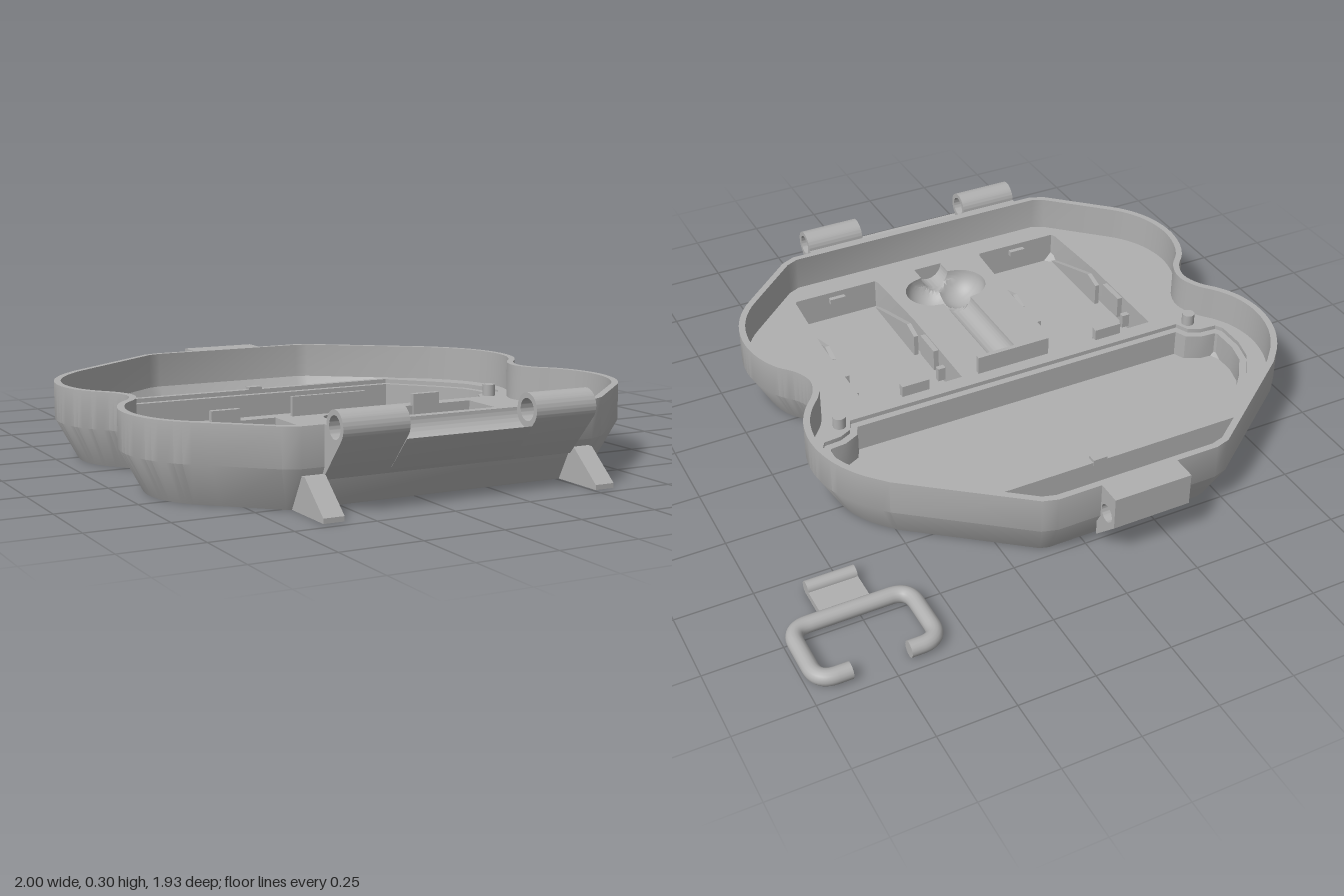
import * as THREE from 'three';
import { toCreasedNormals } from 'three/addons/utils/BufferGeometryUtils.js';

const FLOOR = 0.02, DECK = 0.13, RIM = 0.25;

// Closed loop of [x, z] from its right half, listed rear to front
const mirrorLoop = (half) => [...half, ...half.map(([x, z]) => [-x, z]).reverse()];

// Move a loop inwards by d with mitred corners
function inset(loop, d) {
  const n = loop.length;
  const normal = (a, b) => {
    const dx = b[0] - a[0], dz = b[1] - a[1], l = Math.hypot(dx, dz);
    return [-dz / l, dx / l];
  };
  return loop.map((p, i) => {
    const a = normal(loop[(i + n - 1) % n], p), b = normal(p, loop[(i + 1) % n]);
    const k = d / (1 + a[0] * b[0] + a[1] * b[1]);
    return [p[0] + (a[0] + b[0]) * k, p[1] + (a[1] + b[1]) * k];
  });
}

// Skin over rings given as [loop, y]
function loft(rings) {
  const pos = [];
  for (let r = 0; r < rings.length - 1; r++) {
    const [a, ya] = rings[r], [b, yb] = rings[r + 1];
    for (let i = 0; i < a.length; i++) {
      const j = (i + 1) % a.length;
      const A = [a[i][0], ya, a[i][1]], A2 = [a[j][0], ya, a[j][1]];
      const B = [b[i][0], yb, b[i][1]], B2 = [b[j][0], yb, b[j][1]];
      pos.push(...A, ...B, ...A2, ...A2, ...B, ...B2);
    }
  }
  const g = new THREE.BufferGeometry();
  g.setAttribute('position', new THREE.Float32BufferAttribute(pos, 3));
  return toCreasedNormals(g, 0.5);
}

// Flat horizontal face with holes
function sheet(loop, y, holes = [], down = false) {
  const s = down ? 1 : -1;
  const pts = (l) => l.map(([x, z]) => new THREE.Vector2(x, s * z));
  const shape = new THREE.Shape(pts(loop));
  holes.forEach((h) => shape.holes.push(new THREE.Path(pts(h))));
  return new THREE.ShapeGeometry(shape).rotateX(s * Math.PI / 2).translate(0, y, 0);
}

// Solid with a (z, y) section running from x0 to x1
function prism(shape, x0, x1) {
  const g = new THREE.ExtrudeGeometry(shape, { depth: x1 - x0, bevelEnabled: false, curveSegments: 32 });
  return toCreasedNormals(g.rotateY(-Math.PI / 2).translate(x1, 0, 0), 0.5);
}
const polygon = (pts) => new THREE.Shape(pts.map((p) => new THREE.Vector2(...p)));

export function createModel() {
  const grey = new THREE.MeshStandardMaterial({ color: 0xb0b0b0, side: THREE.DoubleSide });
  grey.name = 'grey plastic';
  const model = new THREE.Group();
  const tray = new THREE.Group();
  tray.name = 'tray';
  tray.position.x = -0.16;
  model.add(tray);
  const add = (name, geo, parent = tray) => {
    const m = new THREE.Mesh(geo, grey);
    m.name = name;
    parent.add(m);
    return m;
  };
  const box = (name, w, h, d, x, y, z, parent) =>
    add(name, new THREE.BoxGeometry(w, h, d).translate(x, y, z), parent);

  // Tray outline: straight corners joined by a smooth double lobe
  const lobes = new THREE.CatmullRomCurve3([
    [0.70, -0.485], [0.77, -0.405], [0.82, -0.31], [0.84, -0.2], [0.825, -0.1], [0.79, -0.03], [0.74, 0.035],
    [0.72, 0.1], [0.74, 0.165], [0.79, 0.225], [0.825, 0.3], [0.84, 0.4], [0.82, 0.51], [0.77, 0.6], [0.69, 0.68],
  ].map(([x, z]) => new THREE.Vector3(x, 0, z))).getPoints(56).map((p) => [p.x, p.z]);
  const outline = mirrorLoop([[0.28, -0.785], [0.33, -0.77], ...lobes, [0.54, 0.82], [0.49, 0.843]]);
  const bottom = inset(outline, 0.07), inner = inset(outline, 0.022), base = inset(outline, 0.09);
  add('shell', loft([[bottom, 0], [outline, DECK], [outline, RIM], [inner, RIM], [inner, DECK], [base, FLOOR]]));
  add('underside', sheet(bottom, 0, [], true));
  add('floor', sheet(base, FLOOR));

  // Rear compartment with a ledge around it
  const comp = mirrorLoop([[0.54, -0.53], [0.69, -0.36], [0.745, -0.28], [0.765, -0.2], [0.765, -0.1],
    [0.75, -0.075], [0.69, -0.07], [0.65, -0.05], [0.63, -0.005]]);
  const compInner = inset(comp, 0.024);
  add('rearCompartment', loft([[comp, DECK], [comp, 0.115], [compInner, 0.115], [compInner, FLOOR]]));

  // Two side pockets with catches
  const pocketLoops = [-1, 1].map((s) => {
    const cx = 0.372 * s;
    const loop = mirrorLoop([[0.178, 0.05], [0.178, 0.44], [0.162, 0.72], [0.155, 0.735]])
      .map(([x, z]) => [x + cx, z]);
    const g = new THREE.Group();
    g.name = s > 0 ? 'leftPocket' : 'rightPocket';
    tray.add(g);
    add('pocketWall', loft([[loop, DECK], [loop, FLOOR]]), g);
    box('rearClip', 0.1, 0.09, 0.022, cx, 0.125, 0.047, g);
    box('frontCatch', 0.06, 0.02, 0.02, cx, 0.1, 0.728, g);
    for (const k of [-1, 1]) {
      box('sideCatch', 0.022, 0.08, 0.11, cx + k * 0.17, 0.085, 0.29, g);
      box('sideRib', 0.03, 0.05, 0.02, cx + k * 0.165, 0.06, 0.19, g);
      const spring = polygon([[0.38, 0.1], [0.44, 0.118], [0.73, FLOOR], [0.38, FLOOR]]);
      add('sideSpring', prism(spring, cx + k * 0.158 - 0.008, cx + k * 0.158 + 0.008), g);
    }
    return loop;
  });

  // Central well: round-ended groove merged with two finger bowls
  const R = 0.054, BR = 0.096, BX = 0.056, BZ = 0.58, Z0 = 0.08, Z1 = 0.74;
  const root = (v) => Math.sqrt(Math.max(0, v));
  const grooveR = (z) => (z < Z0 + R ? root(R * R - (Z0 + R - z) ** 2) : R);
  const width = (z) => {
    const b = BR * BR - (z - BZ) ** 2;
    return Math.max(grooveR(z), b > 0 ? BX + Math.sqrt(b) : 0);
  };
  const depth = (x, z) => Math.max(root(grooveR(z) ** 2 - x * x),
    root(BR * BR - (z - BZ) ** 2 - (Math.abs(x) - BX) ** 2));
  const rows = 90, cols = 32;
  const well = new THREE.PlaneGeometry(1, 1, cols, rows);
  const zAt = (i) => Z0 + 0.0005 + (Z1 - Z0 - 0.0005) * Math.min(1, i / (rows - 1)) ** 1.2;
  for (let i = 0; i <= rows; i++) {
    for (let j = 0; j <= cols; j++) {
      const z = zAt(i), x = width(z) * Math.sin((j / cols - 0.5) * Math.PI);
      const d = i === rows || j % cols === 0 ? 0 : depth(x, z);
      well.attributes.position.setXYZ(i * (cols + 1) + j, x, DECK - d, z);
    }
  }
  add('centreWell', toCreasedNormals(well, 0.5));
  const wellLoop = mirrorLoop(Array.from({ length: rows }, (_, i) => [width(zAt(i)), zAt(i)]));

  // Deck, stopping short of the deep rear gutter
  const deckLoop = [[0.573, -0.555], ...inner.filter((p) => p[1] > -0.555), [-0.573, -0.555]];
  add('deck', sheet(deckLoop, DECK, [comp, ...pocketLoops, wellLoop]));
  add('gutterWall', new THREE.ShapeGeometry(polygon([[-0.573, DECK], [0.573, DECK], [0.461, FLOOR], [-0.461, FLOOR]]))
    .translate(0, 0, -0.555));
  box('gutterTab', 0.05, 0.02, 0.03, 0, 0.13, -0.542);
  box('uprightTab', 0.27, 0.07, 0.016, 0, 0.16, 0.048);

  // Hinge: two knuckles, a hollowed bridge between them and two feet
  for (const s of [-1, 1]) {
    const side = (shape, a, b) => (s > 0 ? prism(shape, a, b) : prism(shape, -b, -a));
    const knuckle = new THREE.Shape().moveTo(0.83, 0.09).lineTo(0.946, 0.221);
    knuckle.absarc(0.905, 0.25, 0.05, -0.6, Math.PI, false).lineTo(0.83, 0.25);
    knuckle.holes.push(new THREE.Path().absarc(0.905, 0.25, 0.034, 0, Math.PI * 2, true));
    add('hingeKnuckle', side(knuckle, 0.21, 0.42));
    add('foot', side(polygon([[0.76, 0], [0.962, 0], [0.962, 0.015], [0.85, 0.108], [0.82, 0.108]]), 0.42, 0.485));
    add('peg', new THREE.CylinderGeometry(0.022, 0.022, 0.05, 20).translate(s * 0.672, 0.145, -0.015));
  }
  const bridge = new THREE.Shape().moveTo(0.83, 0.09).lineTo(0.935, 0.205);
  bridge.absarc(0.905, 0.25, 0.054, -0.98, -Math.PI, true).lineTo(0.83, 0.25);
  add('hingeBridge', prism(bridge, -0.21, 0.21));

  // Rear latch block with a cross hole
  const latch = polygon([[-0.765, 0.25], [-0.865, 0.25], [-0.865, 0.14], [-0.765, 0.04]]);
  latch.holes.push(new THREE.Path().absarc(-0.82, 0.165, 0.03, 0, Math.PI * 2, true));
  add('latchBlock', prism(latch, -0.133, 0.133));

  // Separate wire clip lying beside the tray
  const clip = new THREE.Group();
  clip.name = 'clip';
  clip.position.set(0.78, 0.026, 0);
  model.add(clip);
  const path = new THREE.CurvePath();
  const v = (x, z) => new THREE.Vector3(x, 0, z);
  const W = 0.19, T = -0.942, B = -0.718, C = 0.06;
  const line = (a, b) => path.add(new THREE.LineCurve3(a, b));
  const bend = (a, c, b) => path.add(new THREE.QuadraticBezierCurve3(a, c, b));
  line(v(-0.09, T), v(-W + C, T));
  bend(v(-W + C, T), v(-W, T), v(-W, T + C));
  line(v(-W, T + C), v(-W, B - C));
  bend(v(-W, B - C), v(-W, B), v(-W + C, B));
  line(v(-W + C, B), v(W - C, B));
  bend(v(W - C, B), v(W, B), v(W, B - C));
  line(v(W, B - C), v(W, T + C));
  bend(v(W, T + C), v(W, T), v(W - C, T));
  line(v(W - C, T), v(0.09, T));
  add('clipWire', new THREE.TubeGeometry(path, 140, 0.026, 16), clip);
  for (const s of [-1, 1]) {
    add('wireEnd', new THREE.CircleGeometry(0.026, 16).rotateY(-s * Math.PI / 2).translate(s * 0.09, 0, T), clip);
  }
  box('clipPlate', 0.16, 0.024, 0.16, 0, -0.014, -0.645, clip);
  add('clipRoll', new THREE.CylinderGeometry(0.023, 0.023, 0.16, 20).rotateZ(Math.PI / 2)
    .translate(0, -0.003, -0.572), clip);
  return model;
}
